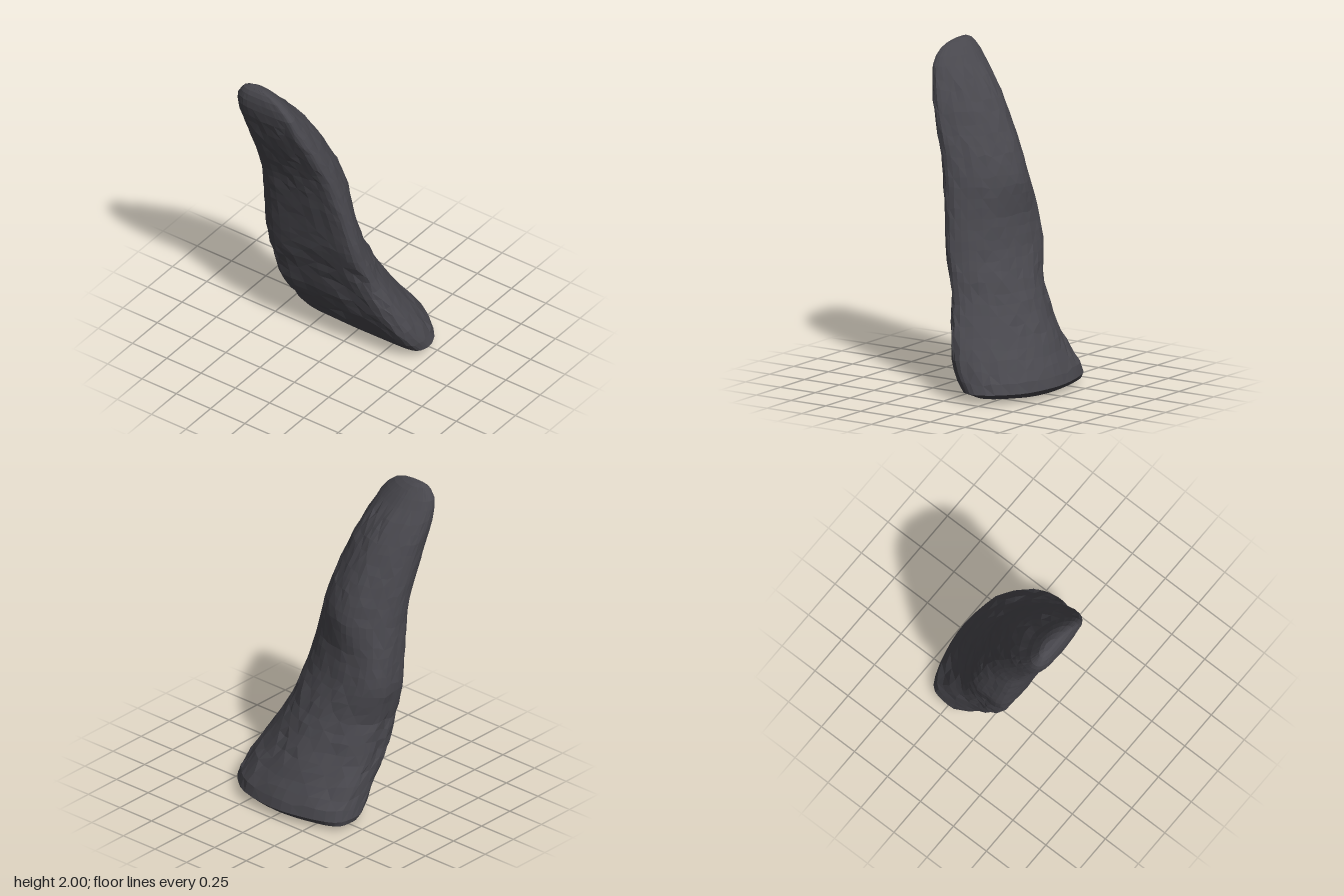
import * as THREE from 'three';

// Height stations: y, left x, right x, back z, front z
const STATIONS = [
  [0.005, 0.25, 0.40, -0.32, 0.22], [0.03, 0.14, 0.455, -0.43, 0.42], [0.06, 0.085, 0.485, -0.44, 0.478],
  [0.12, 0.03, 0.472, -0.435, 0.47], [0.2, -0.02, 0.43, -0.425, 0.45], [0.3, -0.075, 0.375, -0.42, 0.41],
  [0.4, -0.12, 0.32, -0.42, 0.36], [0.5, -0.145, 0.27, -0.425, 0.31], [0.6, -0.17, 0.22, -0.43, 0.27],
  [0.8, -0.22, 0.14, -0.47, 0.23], [1.0, -0.25, 0.092, -0.457, 0.19], [1.2, -0.29, 0.085, -0.447, 0.15],
  [1.3, -0.31, 0.058, -0.447, 0.13], [1.4, -0.337, 0.015, -0.449, 0.11], [1.6, -0.41, -0.09, -0.457, 0.06],
  [1.7, -0.445, -0.15, -0.465, 0.025], [1.8, -0.472, -0.225, -0.467, -0.02], [1.87, -0.485, -0.29, -0.464, -0.05],
  [1.92, -0.485, -0.33, -0.455, -0.09], [1.96, -0.478, -0.365, -0.43, -0.14], [1.985, -0.465, -0.39, -0.41, -0.2],
  [2.0, -0.45, -0.415, -0.37, -0.27],
];

// Plan outlines in a unit square (across, back to front), from the front tip round the right side
const outline = (pts) => new THREE.CatmullRomCurve3(
  pts.map(([u, v]) => new THREE.Vector3(u, 0, v)), true, 'centripetal');
const FOOT = outline([[0.16, 1], [0.4, 0.995], [0.67, 0.91], [0.9, 0.76], [1, 0.5], [0.93, 0.26], [0.75, 0.045],
  [0.48, 0], [0.19, 0.02], [0.04, 0.13], [0, 0.4], [0, 0.74], [0.03, 0.95]]);
const KNEE = outline([[0.23, 1], [0.48, 0.95], [0.75, 0.82], [0.94, 0.62], [1, 0.43], [0.84, 0.17], [0.6, 0.025],
  [0.33, 0], [0.09, 0.01], [0.005, 0.09], [0, 0.4], [0.04, 0.73], [0.11, 0.94]]);
const WAIST = outline([[0.23, 1], [0.51, 0.93], [0.78, 0.77], [0.94, 0.55], [1, 0.33], [0.93, 0.12], [0.74, 0.018],
  [0.43, 0], [0.15, 0.03], [0.02, 0.16], [0, 0.45], [0.02, 0.76], [0.08, 0.96]]);
const BLADE = outline([[0.23, 1], [0.51, 0.93], [0.78, 0.78], [0.95, 0.58], [1, 0.39], [0.86, 0.19], [0.64, 0.042],
  [0.39, 0], [0.16, 0.04], [0.025, 0.18], [0, 0.45], [0.02, 0.76], [0.08, 0.96]]);

function sizeAt(y) {
  let i = 0;
  while (i < STATIONS.length - 2 && STATIONS[i + 1][0] < y) i++;
  const a = STATIONS[i], b = STATIONS[i + 1];
  const t = (y - a[0]) / (b[0] - a[0]);
  return a.map((n, k) => n + (b[k] - n) * t);
}

// Small seeded generator for the chipped surface
function seeded(seed) {
  return () => {
    seed = (seed * 16807) % 2147483647;
    return seed / 2147483647 - 0.5;
  };
}

function hornGeometry() {
  const sides = 39, pos = [], index = [], random = seeded(77);
  const heights = [0.005, 0.03, 0.06];
  for (let y = 0.12; y < 1.85; y += 0.06) heights.push(y);
  heights.push(1.87, 1.92, 1.96, 1.985, 2.0);

  heights.forEach((y, r) => {
    const [, xl, xr, zb, zf] = sizeAt(y);
    const toKnee = THREE.MathUtils.smoothstep(y, 0.1, 0.42);
    const toWaist = THREE.MathUtils.smoothstep(y, 0.58, 0.88);
    const toBlade = THREE.MathUtils.smoothstep(y, 0.95, 1.3);
    const edge = r < 3 || y > 1.86;
    const rough = edge ? 0.002 : y < 0.68 ? 0.011 : 0.004;
    for (let j = 0; j < sides; j++) {
      const t = j / sides;
      const p = FOOT.getPoint(t).lerp(KNEE.getPoint(t), toKnee)
        .lerp(WAIST.getPoint(t), toWaist).lerp(BLADE.getPoint(t), toBlade);
      pos.push(
        xl + (xr - xl) * p.x + random() * rough,
        y + random() * (edge ? 0 : 0.02),
        zb + (zf - zb) * p.z + random() * rough);
    }
  });

  for (let r = 0; r < heights.length - 1; r++) {
    for (let j = 0; j < sides; j++) {
      const a = r * sides + j, b = r * sides + (j + 1) % sides;
      const c = b + sides, d = a + sides;
      if ((r + j) % 2) index.push(a, b, c, a, c, d);
      else index.push(a, b, d, b, c, d);
    }
  }

  // Close the underside and the tip
  const bottom = pos.length / 3, top = bottom + 1, last = (heights.length - 1) * sides;
  pos.push(0.33, 0, -0.05, -0.433, 2.0, -0.32);
  for (let j = 0; j < sides; j++) {
    const k = (j + 1) % sides;
    index.push(bottom, k, j, top, last + j, last + k);
  }

  const geometry = new THREE.BufferGeometry();
  geometry.setAttribute('position', new THREE.Float32BufferAttribute(pos, 3));
  geometry.setIndex(index);
  geometry.computeVertexNormals();
  return geometry;
}

export function createModel() {
  const group = new THREE.Group();
  group.name = 'stoneHorn';
  const stone = new THREE.MeshStandardMaterial({ color: 0x48474d, flatShading: true });
  stone.name = 'charcoal stone';
  const horn = new THREE.Mesh(hornGeometry(), stone);
  horn.name = 'horn';
  group.add(horn);
  return group;
}
